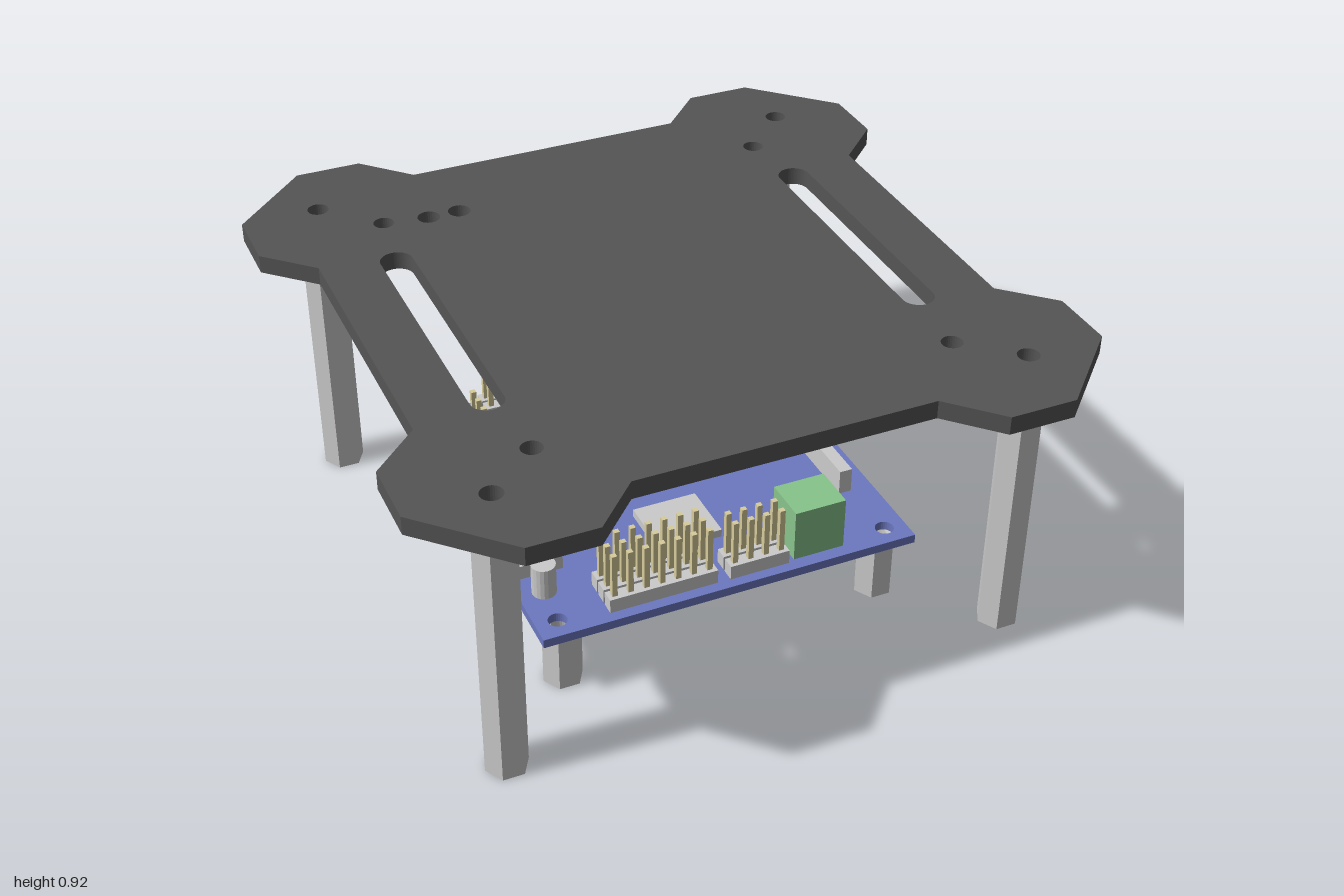
import * as THREE from 'three';

const mat = (color) => new THREE.MeshStandardMaterial({ color, flatShading: true });
const GREY = mat(0xcccccc), DARK = mat(0x555555), BLUE = mat(0x6c78c0), GREEN = mat(0x88c48c), PIN = mat(0xd8cc9c);

export function createModel() {
  const model = new THREE.Group();

  const add = (name, geo, material, x = 0, y = 0, z = 0, parent = model) => {
    const m = new THREE.Mesh(geo, material);
    m.name = name;
    m.position.set(x, y, z);
    parent.add(m);
    return m;
  };
  // box given by its extents on each axis
  const box = (name, material, x0, x1, y0, y1, z0, z1, parent) =>
    add(name, new THREE.BoxGeometry(x1 - x0, y1 - y0, z1 - z0), material,
      (x0 + x1) / 2, (y0 + y1) / 2, (z0 + z1) / 2, parent);
  const circle = (x, z, r) => new THREE.Path().absarc(x, -z, r, 0, Math.PI * 2, true);
  // flat shape drawn in (x, -z), raised from y0 to y1
  const slab = (name, shape, material, y0, y1) => {
    const geo = new THREE.ExtrudeGeometry(shape, { depth: y1 - y0, bevelEnabled: false, curveSegments: 16 });
    geo.rotateX(-Math.PI / 2);
    return add(name, geo, material, 0, y0, 0);
  };
  const polygon = (pts) => new THREE.Shape(pts.map(([x, y]) => new THREE.Vector2(x, y)));

  // Top plate: one corner outline mirrored into four
  const corner = [[0.86, 0.435], [1, 0.57], [1, 0.768], [0.768, 1], [0.57, 1], [0.435, 0.86]];
  const back = [...corner].reverse();
  const plate = polygon([
    ...corner,
    ...back.map(([x, y]) => [-x, y]),
    ...corner.map(([x, y]) => [-x, -y]),
    ...back.map(([x, y]) => [x, -y]),
  ]);
  for (const s of [-1, 1]) {
    for (const t of [-1, 1]) plate.holes.push(circle(s * 0.767, t * 0.767, 0.032));
    plate.holes.push(circle(s * 0.61, -0.61, 0.031), circle(s * 0.61, 0.63, 0.031));
    const slot = new THREE.Path();
    slot.absarc(s * 0.642, 0.385, 0.048, 0, Math.PI, false);
    slot.absarc(s * 0.642, -0.385, 0.048, Math.PI, Math.PI * 2, false);
    plate.holes.push(slot);
  }
  plate.holes.push(circle(-0.476, -0.59, 0.034), circle(-0.38, -0.59, 0.034));
  slab('topPlate', plate, DARK, 0.865, 0.92);

  // Hollow hexagonal standoffs
  const standoff = (name, x, z, r, height) => {
    const hex = polygon([...Array(6).keys()].map((i) =>
      [x + r * Math.cos(i * Math.PI / 3), -z + r * Math.sin(i * Math.PI / 3)]));
    hex.holes.push(circle(x, z, 0.031));
    slab(name, hex, GREY, 0, height);
  };
  for (const s of [-1, 1]) for (const t of [-1, 1]) {
    standoff('tallStandoff', s * 0.767, t * 0.767, 0.063, 0.865);
    standoff('shortStandoff', s * 0.498, t * 0.498, 0.06, 0.197);
  }

  // Circuit board
  const B = 0.225;
  const pcb = polygon([[-0.582, -0.58], [0.582, -0.58], [0.582, 0.58], [-0.582, 0.58]]);
  for (const s of [-1, 1]) for (const t of [-1, 1]) pcb.holes.push(circle(s * 0.515, t * 0.515, 0.028));
  slab('circuitBoard', pcb, BLUE, 0.197, B);

  // Pin headers: strips of plastic with a grid of pins
  const P = 0.0485;
  const header = (x0, z0, nx, nz) => {
    const g = new THREE.Group();
    g.name = 'pinHeader';
    model.add(g);
    const alongX = nx > nz, rows = alongX ? nz : nx;
    for (let r = 0; r < rows; r++) {
      const h = 0.02;
      if (alongX) box('headerStrip', GREY, x0 - h, x0 + (nx - 1) * P + h, B, 0.27, z0 + r * P - h, z0 + r * P + h, g);
      else box('headerStrip', GREY, x0 + r * P - h, x0 + r * P + h, B, 0.27, z0 - h, z0 + (nz - 1) * P + h, g);
    }
    for (let i = 0; i < nx; i++) for (let j = 0; j < nz; j++) {
      const x = x0 + i * P, z = z0 + j * P;
      box('pin', PIN, x - 0.008, x + 0.008, 0.27, 0.41, z - 0.008, z + 0.008, g);
    }
  };
  header(-0.35, 0.43, 7, 3);
  header(0.02, 0.48, 4, 2);
  header(-0.535, -0.05, 3, 8);
  header(-0.535, -0.38, 3, 5);
  header(-0.35, -0.53, 7, 2);
  header(0.02, -0.53, 4, 2);

  // Socket strip, terminal block, upright daughter board and dark connector
  box('socketStrip', GREY, 0.47, 0.51, B, 0.305, -0.075, 0.315);
  box('terminalBlock', GREEN, 0.205, 0.365, B, 0.39, 0.4, 0.54);
  box('uprightBoard', GREEN, 0.345, 0.37, B, 0.565, -0.315, -0.117);
  box('darkConnector', DARK, 0.388, 0.512, B, 0.415, -0.317, -0.138);

  // Round part on the upright board
  const round = new THREE.CylinderGeometry(0.095, 0.095, 0.075, 28).rotateZ(Math.PI / 2);
  add('roundComponent', round, GREY, 0.3075, 0.403, -0.217);

  // Power jack: square flange with a socket, barrel on a block
  const flange = polygon([[0.228, B], [0.402, B], [0.402, 0.435], [0.228, 0.435]]);
  flange.holes.push(new THREE.Path().absarc(0.315, 0.35, 0.058, 0, Math.PI * 2, true));
  add('jackFlange', new THREE.ExtrudeGeometry(flange, { depth: 0.045, bevelEnabled: false, curveSegments: 16 }),
    GREY, 0, 0, -0.6);
  box('jackBlock', GREY, 0.238, 0.392, B, 0.353, -0.555, -0.325);
  add('jackBarrel', new THREE.CylinderGeometry(0.076, 0.076, 0.23, 28).rotateX(Math.PI / 2), GREY, 0.315, 0.354, -0.44);
  add('jackPin', new THREE.CylinderGeometry(0.016, 0.016, 0.04, 12).rotateX(Math.PI / 2), GREY, 0.315, 0.35, -0.575);

  // Small can and chips
  add('canCapacitor', new THREE.CylinderGeometry(0.036, 0.036, 0.1, 20), GREY, -0.505, 0.275, 0.385);
  box('mainChip', GREY, -0.14, 0.06, B, 0.25, 0.17, 0.36);
  for (let i = 0; i < 3; i++) {
    const x = -0.39 + i * 0.095;
    box('moduleChip', GREY, x, x + 0.088, B, 0.33, -0.29, -0.1);
  }
  box('crystal', GREY, 0.06, 0.11, B, 0.305, -0.2, -0.1);
  for (let i = 0; i < 5; i++) {
    box('smallChip', GREY, -0.34 + i * 0.065, -0.3 + i * 0.065, B, 0.25, 0.02, 0.06);
  }

  return model;
}
